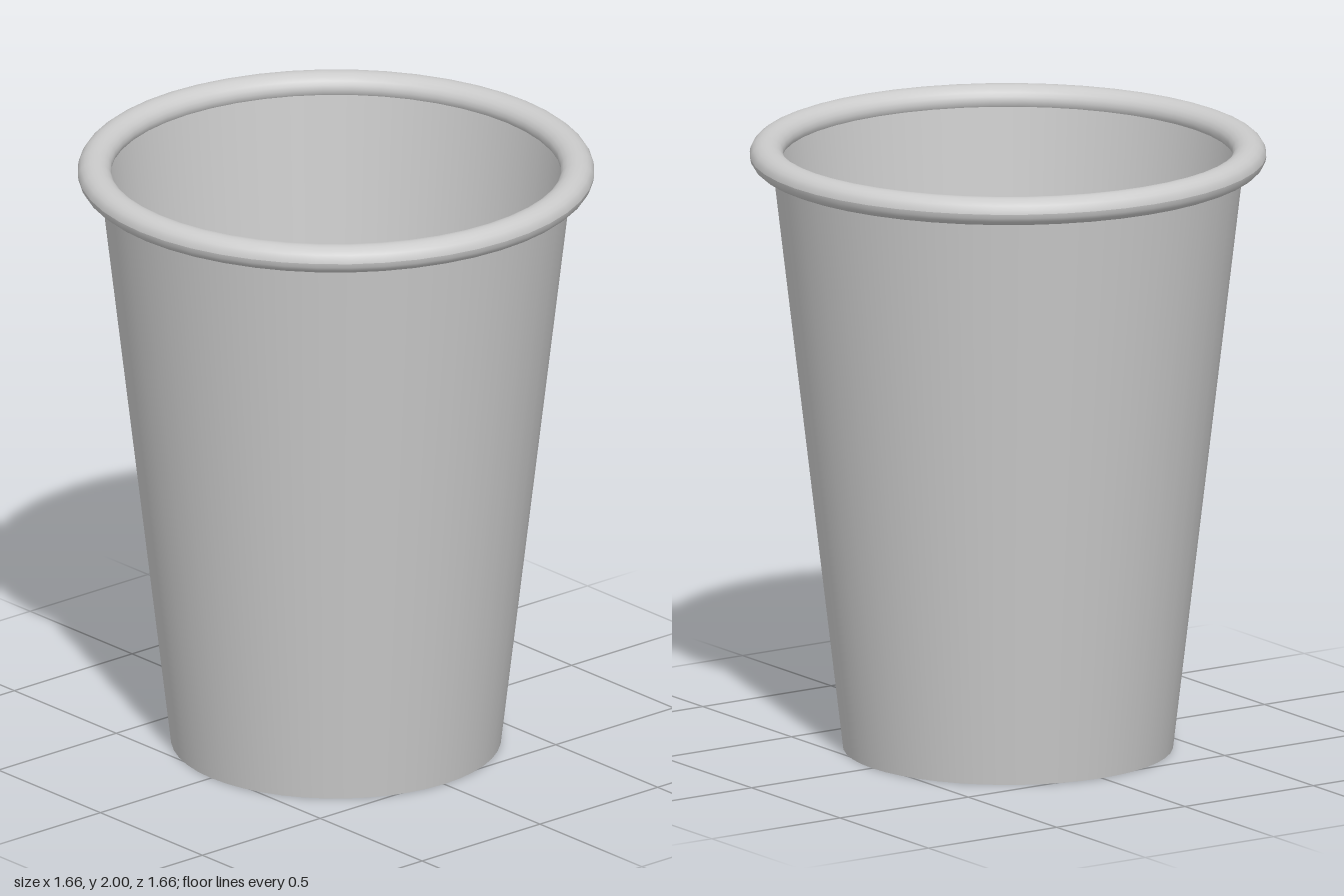
import * as THREE from 'three';

const SIDES = 48;
const material = new THREE.MeshStandardMaterial({ color: 0xcccccc });

// Revolves a profile of [radius, height] pairs into a named mesh
function turned(name, profile) {
  const points = profile.map(([r, y]) => new THREE.Vector2(r, y));
  const mesh = new THREE.Mesh(new THREE.LatheGeometry(points, SIDES), material);
  mesh.name = name;
  return mesh;
}

export function createModel() {
  const cup = new THREE.Group();
  cup.name = 'cup';

  // Tapered wall, outside and inside
  cup.add(turned('outerWall', [[0.53, 0], [0.76, 1.95]]));
  cup.add(turned('innerWall', [[0.73, 1.95], [0.522, 0.09]]));

  // Floor with a small fillet where it meets the wall
  cup.add(turned('floorFillet', [[0.522, 0.09], [0.517, 0.083], [0.508, 0.08]]));
  cup.add(turned('floor', [[0.508, 0.08], [0, 0.08]]));

  // Recessed underside and the foot ring around it
  cup.add(turned('underside', [[0, 0.055], [0.522, 0.055]]));
  cup.add(turned('footInside', [[0.522, 0.055], [0.517, 0]]));
  cup.add(turned('footRing', [[0.517, 0], [0.53, 0]]));

  // Rolled lip, slightly wider than tall
  const lip = [];
  for (let i = 0; i <= 20; i++) {
    const a = (i / 20) * Math.PI * 2;
    lip.push([0.776 + 0.054 * Math.cos(a), 1.955 + 0.045 * Math.sin(a)]);
  }
  cup.add(turned('rolledLip', lip));

  return cup;
}
